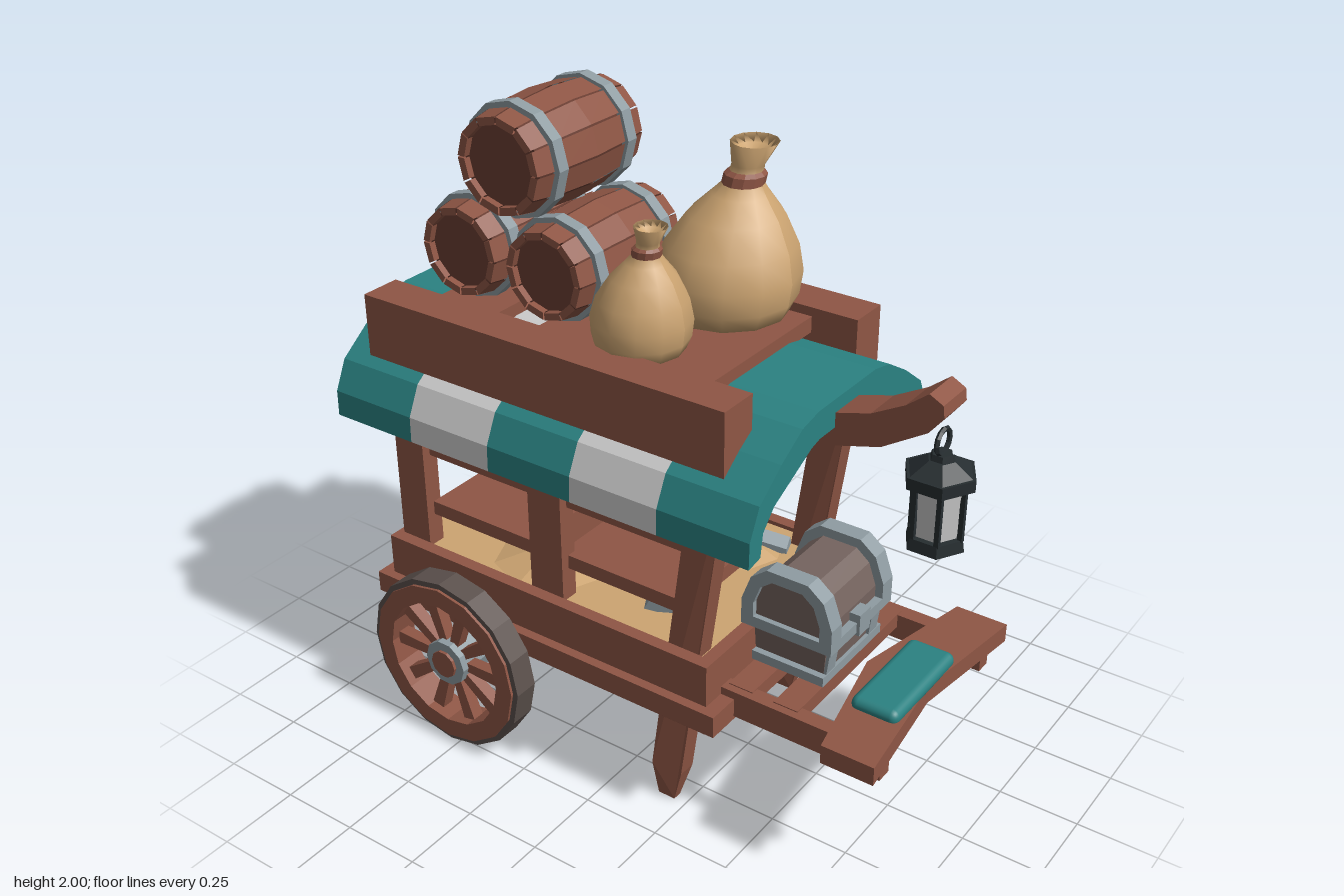
import * as THREE from 'three';
import { RoundedBoxGeometry } from 'three/addons/geometries/RoundedBoxGeometry.js';

const mat = (color, flatShading = true) =>
  new THREE.MeshStandardMaterial({ color, flatShading, side: THREE.DoubleSide });
const wood = mat(0x8f5645), darkWood = mat(0x6b3f33), metal = mat(0x8f9ca2), iron = mat(0x262d30),
  tan = mat(0xcda572), cloth = mat(0xcda572, false), teal = mat(0x2b8282), pale = mat(0xcccccc),
  pink = mat(0xf0325f, false), glass = mat(0xcccccc, false), tire = mat(0x5c514d), chestWood = mat(0x75645f);
const V2 = (a) => a.map(([x, y]) => new THREE.Vector2(x, y));

function add(parent, name, geo, material, x = 0, y = 0, z = 0) {
  const m = new THREE.Mesh(geo, material);
  m.name = name;
  m.position.set(x, y, z);
  parent.add(m);
  return m;
}
// box from its limits
const box = (p, name, m, x0, x1, y0, y1, z0, z1) =>
  add(p, name, new THREE.BoxGeometry(x1 - x0, y1 - y0, z1 - z0), m, (x0 + x1) / 2, (y0 + y1) / 2, (z0 + z1) / 2);
// outline of [z, y] points given a width along x
function sideSlab(points, width) {
  const s = new THREE.Shape(V2(points.map(([z, y]) => [-z, y])));
  return new THREE.ExtrudeGeometry(s, { depth: width, bevelEnabled: false })
    .translate(0, 0, -width / 2).rotateY(Math.PI / 2);
}
// box whose bottom is scaled by sx, sz
function taperBox(w, h, d, sx, sz) {
  const g = new THREE.BoxGeometry(w, h, d), a = g.attributes.position;
  for (let i = 0; i < a.count; i++) if (a.getY(i) < 0) a.setXYZ(i, a.getX(i) * sx, a.getY(i), a.getZ(i) * sz);
  g.computeVertexNormals();
  return g;
}
function group(parent, name, x = 0, y = 0, z = 0) {
  const g = new THREE.Group();
  g.name = name;
  g.position.set(x, y, z);
  parent.add(g);
  return g;
}

function makeWheel(parent, side) {
  const w = group(parent, 'wheel', side * 0.485, 0.3, -0.525);
  if (side < 0) w.rotation.y = Math.PI;
  const ring = (r0, r1, h) => new THREE.LatheGeometry(
    V2([[r0, -h], [r1, -h], [r1, h], [r0, h], [r0, -h]]), 16).rotateZ(Math.PI / 2);
  add(w, 'tire', ring(0.26, 0.29, 0.04), tire);
  add(w, 'rim', ring(0.212, 0.272, 0.049), wood);
  for (let i = 0; i < 10; i++) {
    const spoke = add(w, 'spoke', taperBox(0.04, 0.17, 0.044, 0.9, 0.7).translate(0, 0.14, 0), wood);
    spoke.rotation.x = (i + 0.5) * Math.PI / 5;
  }
  const rod = (r, h) => new THREE.CylinderGeometry(r, r, h, 10).rotateZ(Math.PI / 2);
  add(w, 'hub', rod(0.076, 0.125), metal, -0.022);
  add(w, 'hubCap', rod(0.046, 0.14), wood, -0.02);
}

function makeBarrel(parent, y, z, r, corkY, corkZ) {
  const b = group(parent, 'barrel', 0, y, z);
  const lie = group(b, 'barrelBody');
  lie.rotation.z = Math.PI / 2;
  const prof = V2([[0.7, -0.2], [0.7, -0.237], [0.84, -0.237], [0.94, -0.13], [0.985, 0],
    [0.94, 0.13], [0.84, 0.237], [0.7, 0.237], [0.7, 0.2]].map(([a, h]) => [a * r, h]));
  for (let i = 0; i < 12; i++)
    add(lie, 'stave', new THREE.LatheGeometry(prof, 1, i * Math.PI / 6, Math.PI / 6 * 0.93), wood);
  add(lie, 'barrelCore', new THREE.LatheGeometry(V2([[0, -0.215], [0.79 * r, -0.215], [0.92 * r, 0],
    [0.79 * r, 0.215], [0, 0.215]]), 12), darkWood);
  for (const s of [-1, 1])
    add(lie, 'hoop', new THREE.LatheGeometry(V2([[0.88 * r, -0.02], [r, -0.02], [r, 0.02], [0.88 * r, 0.02]]), 12),
      metal, 0, s * 0.155, 0);
  add(b, 'cork', new THREE.CylinderGeometry(0.03, 0.033, 0.06, 8).rotateZ(Math.PI / 2), tan, 0.23, corkY, corkZ);
}

function makeSack(parent, x, z, r, h, leanX, leanZ) {
  const s = group(parent, 'sack', x, 1.38, z);
  // leans more the higher it goes
  const lean = (pts) => {
    const g = new THREE.LatheGeometry(V2(pts.map(([a, b]) => [a * r, b * h])), 12), a = g.attributes.position;
    for (let i = 0; i < a.count; i++) {
      const t = (a.getY(i) / h) ** 2;
      a.setX(i, a.getX(i) + leanX * t);
      a.setZ(i, a.getZ(i) + leanZ * t);
    }
    g.computeVertexNormals();
    return g;
  };
  add(s, 'sackCloth', lean([[0, 0], [0.86, 0], [0.97, 0.1], [1, 0.24], [0.9, 0.4], [0.66, 0.57],
    [0.4, 0.69], [0.24, 0.77], [0.22, 0.85], [0.33, 0.98], [0.22, 0.94], [0, 0.9]]), cloth);
  add(s, 'sackTie', lean([[0.24, 0.73], [0.29, 0.74], [0.29, 0.8], [0.23, 0.82]]), wood);
}

export function createModel() {
  const cart = new THREE.Group();
  cart.name = 'marketCart';

  // bed: hull, rail, walls and load
  const bed = group(cart, 'bed');
  add(bed, 'hull', taperBox(0.79, 0.07, 1.2, 0.91, 0.94), wood, 0, 0.345, -0.235);
  box(bed, 'rail', wood, -0.43, 0.43, 0.38, 0.45, -0.88, 0.405);
  for (const s of [-1, 1]) box(bed, 'sideWall', wood, s * 0.38 - 0.02, s * 0.38 + 0.02, 0.45, 0.585, -0.84, 0.36);
  for (const z of [-0.82, 0.34]) box(bed, 'endWall', wood, -0.36, 0.36, 0.45, 0.585, z - 0.02, z + 0.02);
  box(bed, 'grain', tan, -0.36, 0.36, 0.45, 0.572, -0.8, 0.32);
  for (const [x, z, w] of [[0.2, 0.06, 0.16], [0.17, -0.5, 0.22], [-0.18, -0.35, 0.2]])
    add(bed, 'grainHeap', new THREE.ConeGeometry(w, 0.06, 8), tan, x, 0.6, z);
  [[0.24, 0.15, 0.4], [0.16, 0.02, -0.5], [0.26, -0.12, 0.9], [0.22, -0.27, -0.3], [0.27, -0.6, 0.6], [-0.2, 0.1, 0.5]]
    .forEach(([x, z, a]) => {
      const ingot = add(bed, 'ingot', taperBox(0.05, 0.04, 0.13, 1.4, 1.15), metal, x, 0.595, z);
      ingot.rotation.set(0.25, a, 0.25);
    });
  box(cart, 'axleBeam', wood, -0.31, 0.31, 0.245, 0.32, -0.6, -0.45);
  add(cart, 'axle', new THREE.CylinderGeometry(0.05, 0.05, 0.86, 8).rotateZ(Math.PI / 2), wood, 0, 0.3, -0.525);

  // wheels, posts, roof beams and shafts on both sides
  for (const s of [-1, 1]) {
    makeWheel(cart, s);
    const leg = sideSlab([[0.205, 0], [0.148, 0], [0.14, 0.12], [0.285, 1.2], [0.395, 1.2], [0.245, 0.12]]
      .map(([z, y]) => [y ? z : z + 0.005, y]), 0.06);
    const a = leg.attributes.position;
    for (let i = 0; i < a.count; i++) if (a.getY(i) < 0.05) a.setX(i, a.getX(i) * 0.5);
    leg.computeVertexNormals();
    add(cart, 'frontPost', leg, wood, s * 0.33);
    box(cart, 'rearPost', wood, s * 0.33 - 0.03, s * 0.33 + 0.03, 0.5, 1.15, -0.82, -0.71);
    box(cart, 'roofBeam', wood, s * 0.335 - 0.065, s * 0.335 + 0.065, 1.08, 1.408, -0.85, 0.41);
    box(cart, 'shaft', wood, s * 0.3 - 0.025, s * 0.3 + 0.025, 0.39, 0.475, 0.33, 0.76);
    box(cart, 'shaftPeg', wood, s * 0.3 - 0.025, s * 0.3 + 0.025, 0.385, 0.43, 0.72, 0.88);
  }

  // striped canopy
  const half = [[-0.475, 1.02], [-0.473, 1.1], [-0.43, 1.19], [-0.33, 1.265], [-0.23, 1.325], [-0.15, 1.342]];
  const inner = [[-0.14, 1.255], [-0.18, 1.245], [-0.36, 1.155], [-0.41, 1.1], [-0.42, 1.03]];
  const flip = (pts) => pts.map(([x, y]) => [-x, y]).reverse();
  const arch = new THREE.Shape(V2([...half, ...flip(half), ...flip(inner), ...inner]));
  for (let i = 0; i < 5; i++)
    add(cart, 'canopyStripe', new THREE.ExtrudeGeometry(arch, { depth: 0.294, bevelEnabled: false }),
      i % 2 ? pale : teal, 0, 0, -0.93 + i * 0.294);
  box(cart, 'roofPlank', wood, -0.27, 0.27, 1.33, 1.38, -0.34, 0.26);
  box(cart, 'roofPlank', wood, -0.27, 0.27, 1.33, 1.38, -0.71, -0.49);

  // lantern arm and lantern
  add(cart, 'lanternArm', sideSlab([[0.35, 1.2], [0.35, 1.3], [0.54, 1.3], [0.645, 1.33], [0.745, 1.385], [0.81, 1.437],
    [0.852, 1.415], [0.857, 1.38], [0.815, 1.325], [0.68, 1.24], [0.54, 1.2]], 0.125), wood);
  const lantern = group(cart, 'lantern', 0, 0, 0.83);
  const hex = (r0, r1, h) => new THREE.CylinderGeometry(r0, r1, h, 6);
  add(lantern, 'lanternBase', hex(0.082, 0.088, 0.035), iron, 0, 0.983);
  add(lantern, 'lanternGlass', hex(0.075, 0.062, 0.17), pale, 0, 1.08);
  add(lantern, 'lanternEave', hex(0.104, 0.104, 0.035), iron, 0, 1.175);
  add(lantern, 'lanternRoof', hex(0.04, 0.095, 0.035), iron, 0, 1.21);
  add(lantern, 'lanternCap', hex(0.03, 0.035, 0.02), iron, 0, 1.235);
  for (let i = 0; i < 6; i++) {
    const a = i * Math.PI / 3;
    add(lantern, 'lanternBar', new THREE.BoxGeometry(0.014, 0.17, 0.014), iron, 0.074 * Math.sin(a), 1.08, 0.074 * Math.cos(a));
  }
  add(lantern, 'lanternRing', new THREE.TorusGeometry(0.036, 0.008, 5, 12), iron, 0, 1.278);

  // shelves with goods
  box(cart, 'lowerShelf', wood, -0.33, 0.06, 0.675, 0.72, -0.71, 0.23);
  box(cart, 'upperShelf', wood, -0.33, -0.04, 0.885, 0.935, -0.71, 0.25);
  box(cart, 'middlePost', wood, -0.36, -0.3, 0.5, 1.15, -0.3, -0.18);
  box(cart, 'shelfBracket', wood, -0.31, -0.12, 0.72, 0.82, -0.26, -0.21);
  add(cart, 'bread', taperBox(0.08, 0.05, 0.12, 1.7, 1.75), tan, -0.17, 0.96, 0.035);
  add(cart, 'bread', taperBox(0.08, 0.05, 0.36, 1.7, 1.25), tan, -0.17, 0.96, -0.485);
  [0.11, -0.06, -0.38, -0.56].forEach((z, i) => {
    const b = group(cart, 'bottle', 0, 0.72, z);
    add(b, 'bottleBody', new THREE.LatheGeometry(V2([[0, 0], [0.06, 0], [0.068, 0.02], [0.058, 0.06], [0.036, 0.095]]), 12),
      i ? pink : glass);
    add(b, 'bottleNeck', new THREE.LatheGeometry(V2([[0.036, 0.095], [0.025, 0.12], [0.025, 0.15], [0.037, 0.182],
      [0.028, 0.182], [0, 0.15]]), 12), glass);
  });

  // driver's footboard and cushion
  const bar = new THREE.Shape(V2([[-0.4, 0.735], [0, 0.65], [0.4, 0.735], [0.4, 0.9], [0, 0.85], [-0.4, 0.9]]));
  add(cart, 'footboard', new THREE.ExtrudeGeometry(bar, { depth: 0.06, bevelEnabled: false }).rotateX(Math.PI / 2),
    wood, 0, 0.49);
  add(cart, 'cushion', new RoundedBoxGeometry(0.36, 0.05, 0.15, 3, 0.024), mat(0x2b8282, false), -0.03, 0.497, 0.785);
  for (const z of [0.41, 0.56]) box(cart, 'crossboard', wood, -0.3, 0.3, 0.43, 0.478, z - 0.04, z + 0.04);

  // chest
  const chest = group(cart, 'chest', 0, 0, 0.475);
  const lidArch = (r, h, y0) => [[r, y0], [r, y0 + h * 0.4], [r * 0.8, y0 + h * 0.8], [r * 0.45, y0 + h],
    [-r * 0.45, y0 + h], [-r * 0.8, y0 + h * 0.8], [-r, y0 + h * 0.4], [-r, y0]];
  add(chest, 'chestFoot', new THREE.BoxGeometry(0.33, 0.03, 0.25), metal, 0, 0.493);
  add(chest, 'chestBody', taperBox(0.31, 0.11, 0.25, 0.92, 0.9), chestWood, 0, 0.55);
  add(chest, 'chestLid', sideSlab(lidArch(0.125, 0.175, 0.6), 0.31), chestWood);
  add(chest, 'chestRim', new THREE.BoxGeometry(0.345, 0.035, 0.3), metal, 0, 0.615);
  for (const s of [-1, 1]) {
    const band = new THREE.Shape(V2(lidArch(0.15, 0.205, 0.6)));
    band.holes.push(new THREE.Path(V2(lidArch(0.11, 0.15, 0.62))));
    const strap = add(chest, 'chestStrap', new THREE.ExtrudeGeometry(band, { depth: 0.055, bevelEnabled: false })
      .translate(0, 0, -0.0275).rotateY(Math.PI / 2), metal, s * 0.145);
    strap.rotation.z = 0;
    add(chest, 'chestCorner', taperBox(0.05, 0.11, 0.27, 0.95, 0.9), metal, s * 0.12, 0.552);
  }
  box(chest, 'chestLatch', metal, -0.03, 0.03, 0.59, 0.66, 0.12, 0.16);

  // barrels and sacks on the roof
  makeBarrel(cart, 1.54, -0.31, 0.157, 0.01, -0.01);
  makeBarrel(cart, 1.54, -0.62, 0.16, -0.045, 0.05);
  makeBarrel(cart, 1.83, -0.455, 0.17, -0.025, 0.042);
  makeSack(cart, 0.19, 0.02, 0.215, 0.5, 0.07, 0.045);
  makeSack(cart, -0.165, -0.025, 0.145, 0.375, -0.01, 0.045);
  return cart;
}
